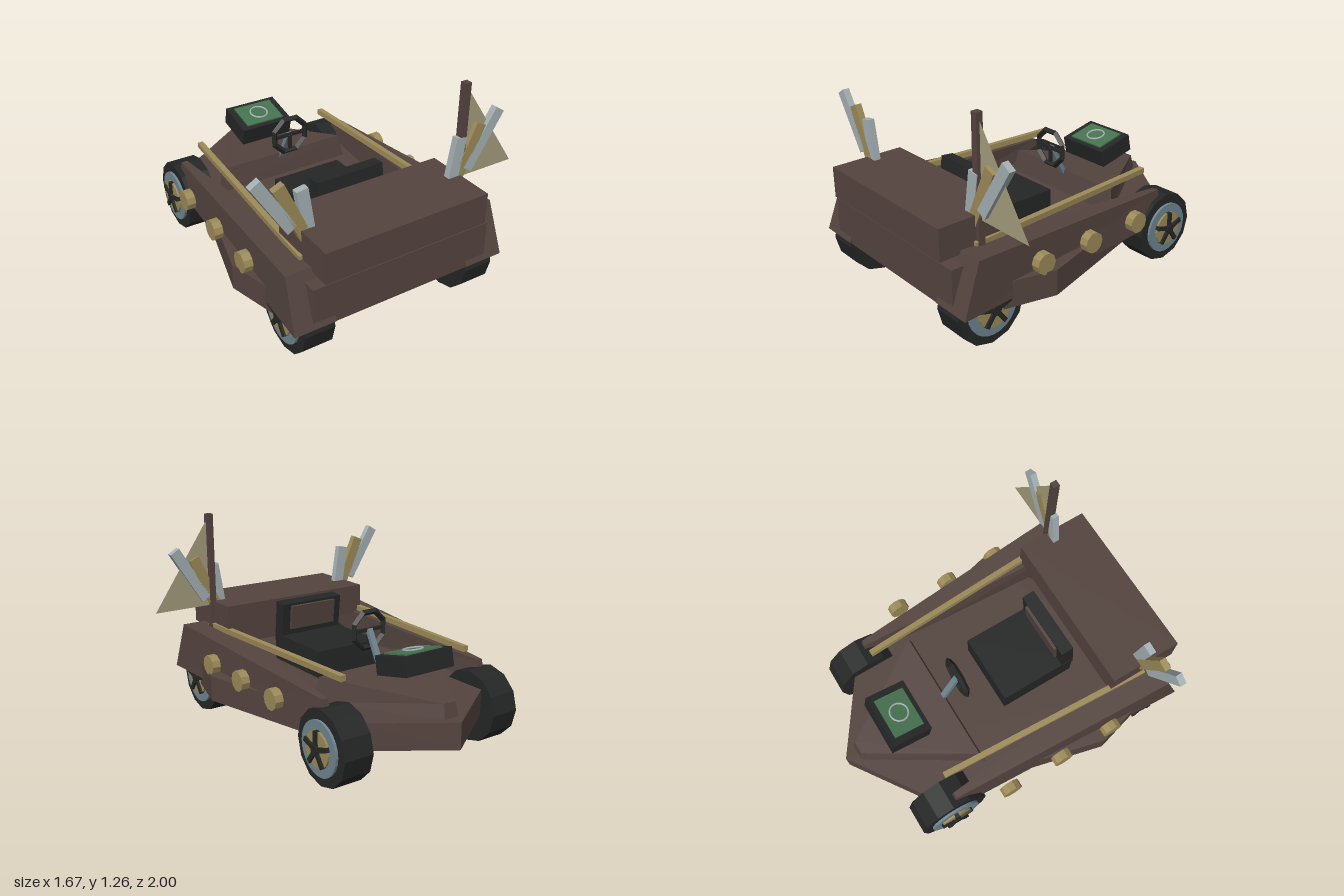
import * as THREE from 'three';

const mat = (name, color, extra = {}) => {
  const m = new THREE.MeshStandardMaterial({ color, ...extra });
  m.name = name;
  return m;
};

export function createModel() {
  const brown = mat('brown wood', 0x54443f);
  const dark = mat('black rubber', 0x252626);
  const tan = mat('tan wood', 0x9c8a58);
  const steel = mat('blue steel', 0x6f8590);
  const grey = mat('pale metal', 0xa4b0b3);
  const green = mat('green screen', 0x467350);
  const cloth = mat('flag cloth', 0xa39c7c, { side: THREE.DoubleSide });

  const root = new THREE.Group();
  const kart = new THREE.Group();
  kart.name = 'kart';
  kart.position.x = -0.057; // the flag overhangs on one side
  root.add(kart);

  const add = (name, geo, material, pos = [0, 0, 0], parent = kart) => {
    const m = new THREE.Mesh(geo, material);
    m.name = name;
    m.position.set(...pos);
    parent.add(m);
    return m;
  };
  const box = (name, size, material, pos, parent) =>
    add(name, new THREE.BoxGeometry(...size), material, pos, parent);
  // straight bar between two points
  const bar = (name, a, b, w, d, material, parent = kart) => {
    const p = new THREE.Vector3(...a), q = new THREE.Vector3(...b);
    const m = box(name, [w, p.distanceTo(q), d], material, p.clone().add(q).multiplyScalar(0.5).toArray(), parent);
    m.quaternion.setFromUnitVectors(new THREE.Vector3(0, 1, 0), q.sub(p).normalize());
    return m;
  };
  // box whose eight corners are placed by a rule on their signs
  const block = (name, rule, material) => {
    const g = new THREE.BoxGeometry(1, 1, 1);
    const p = g.attributes.position;
    for (let i = 0; i < p.count; i++) p.setXYZ(i, ...rule(p.getX(i) > 0 ? 1 : -1, p.getY(i) > 0, p.getZ(i) > 0));
    const flat = g.toNonIndexed();
    flat.computeVertexNormals();
    return add(name, flat, material);
  };
  // disc with its axis along x
  const disc = (r, w, sides) => new THREE.CylinderGeometry(r, r, w, sides).rotateZ(Math.PI / 2).toNonIndexed();
  const flatDisc = (r, w, sides) => {
    const g = disc(r, w, sides);
    g.computeVertexNormals();
    return g;
  };

  // floor slab with pointed nose
  const half = [[0.44, -0.7], [0.718, 0.4], [0.585, 0.9]];
  const outline = [[0, -1], ...half, ...half.map(([x, z]) => [-x, z]).reverse()];
  const slab = new THREE.ExtrudeGeometry(
    new THREE.Shape(outline.map(([x, z]) => new THREE.Vector2(x, z))),
    { depth: 0.155, bevelEnabled: false });
  add('floor', slab.rotateX(Math.PI / 2), brown, [0, 0.347, 0]);

  // raised nose deck
  block('noseDeck', (sx, top, rear) => rear
    ? [sx * (top ? 0.42 : 0.45), top ? 0.487 : 0.34, top ? -0.312 : -0.285]
    : [sx * (top ? 0.04 : 0.05), top ? 0.428 : 0.34, top ? -0.905 : -0.925], brown);

  // tapering side panels
  for (const s of [-1, 1]) {
    block('sidePanel', (sx, top, rear) => {
      const outer = sx === s;
      if (rear) return [s * (outer ? (top ? 0.658 : 0.673) : 0.425), top ? 0.55 : 0.25, top ? 0.87 : 0.98];
      return [s * (outer ? (top ? 0.573 : 0.585) : (top ? 0.535 : 0.515)), top ? 0.465 : 0.25, top ? -0.56 : -0.6];
    }, brown);
    bar('handRail', [s * 0.437, 0.552, -0.56], [s * 0.51, 0.552, 0.785], 0.034, 0.034, tan);
    for (const z of [0.46, 0.11, -0.25]) add('sideKnob', flatDisc(0.062, 0.052, 10), tan, [s * 0.676, 0.395, z]);
    // fan of planks
    bar('outerPlank', [s * 0.555, 0.732, 0.755], [s * 0.753, 1.05, 0.755], 0.066, 0.04, grey);
    bar('middlePlank', [s * 0.445, 0.59, 0.755], [s * 0.628, 0.993, 0.755], 0.068, 0.04, tan);
    bar('innerPlank', [s * 0.443, 0.6, 0.755], [s * 0.498, 0.943, 0.755], 0.068, 0.04, grey);

    // wheels
    for (const z of [0.76, -0.6]) {
      const wheel = new THREE.Group();
      wheel.name = z > 0 ? 'endWheel' : 'noseWheel';
      wheel.position.set(s * 0.52, 0.216, z);
      kart.add(wheel);
      add('tire', flatDisc(0.216, 0.18, 12), dark, [0, 0, 0], wheel);
      add('rim', flatDisc(0.157, 0.03, 24), steel, [s * 0.09, 0, 0], wheel);
      add('hubPlate', flatDisc(0.104, 0.03, 20), tan, [s * 0.102, 0, 0], wheel);
      add('hubCap', flatDisc(0.03, 0.04, 10), dark, [s * 0.115, 0, 0], wheel);
      for (let i = 0; i < 5; i++) {
        const a = Math.PI / 2 + i * Math.PI * 0.4;
        bar('spoke', [s * 0.118, 0, 0], [s * 0.118, Math.sin(a) * 0.105, Math.cos(a) * 0.105], 0.026, 0.026, dark, wheel);
      }
    }
  }

  // trunk box and lower end plate
  box('trunk', [1.015, 0.185, 0.45], brown, [0.0, 0.618, 0.775]);
  box('endPlate', [1.115, 0.25, 0.08], brown, [0, 0.365, 0.928]);

  // seat
  box('seatCushion', [0.435, 0.165, 0.48], dark, [0, 0.43, 0.23]);
  const back = box('seatBack', [0.43, 0.26, 0.08], dark, [0, 0.59, 0.429]);
  back.rotation.x = -0.1;
  box('seatBackPad', [0.32, 0.15, 0.02], brown, [0, 0.04, -0.048], back);

  // steering
  const steering = new THREE.Group();
  steering.name = 'steeringWheel';
  steering.position.set(0, 0.66, -0.207);
  kart.add(steering);
  const ring = new THREE.TorusGeometry(0.113, 0.019, 4, 8).rotateZ(Math.PI / 8).toNonIndexed();
  ring.computeVertexNormals();
  add('steeringRim', ring, dark, [0, 0, 0], steering);
  for (const a of [0, Math.PI, -Math.PI / 2])
    bar('steeringSpoke', [0, 0, 0], [Math.cos(a) * 0.11, Math.sin(a) * 0.11, 0], 0.02, 0.016, dark, steering);
  bar('steeringColumn', [0, 0.665, -0.21], [0, 0.46, -0.32], 0.034, 0.026, steel);

  // tilted instrument box on the nose
  const panel = box('instrumentBox', [0.34, 0.11, 0.25], dark, [0, 0.579, -0.616]);
  panel.rotation.x = 0.217;
  box('screen', [0.255, 0.009, 0.19], green, [0, 0.059, 0], panel);
  add('screenRing', new THREE.TorusGeometry(0.055, 0.006, 6, 20).rotateX(Math.PI / 2), grey, [0, 0.067, 0], panel);

  // flag
  box('flagPole', [0.04, 0.76, 0.04], brown, [0.512, 0.88, 0.75]);
  const pennant = new THREE.Shape([[0.53, 0.684], [0.893, 0.684], [0.53, 1.22]].map(([x, y]) => new THREE.Vector2(x, y)));
  add('flag', new THREE.ShapeGeometry(pennant), cloth, [0, 0, 0.75]);

  return root;
}
